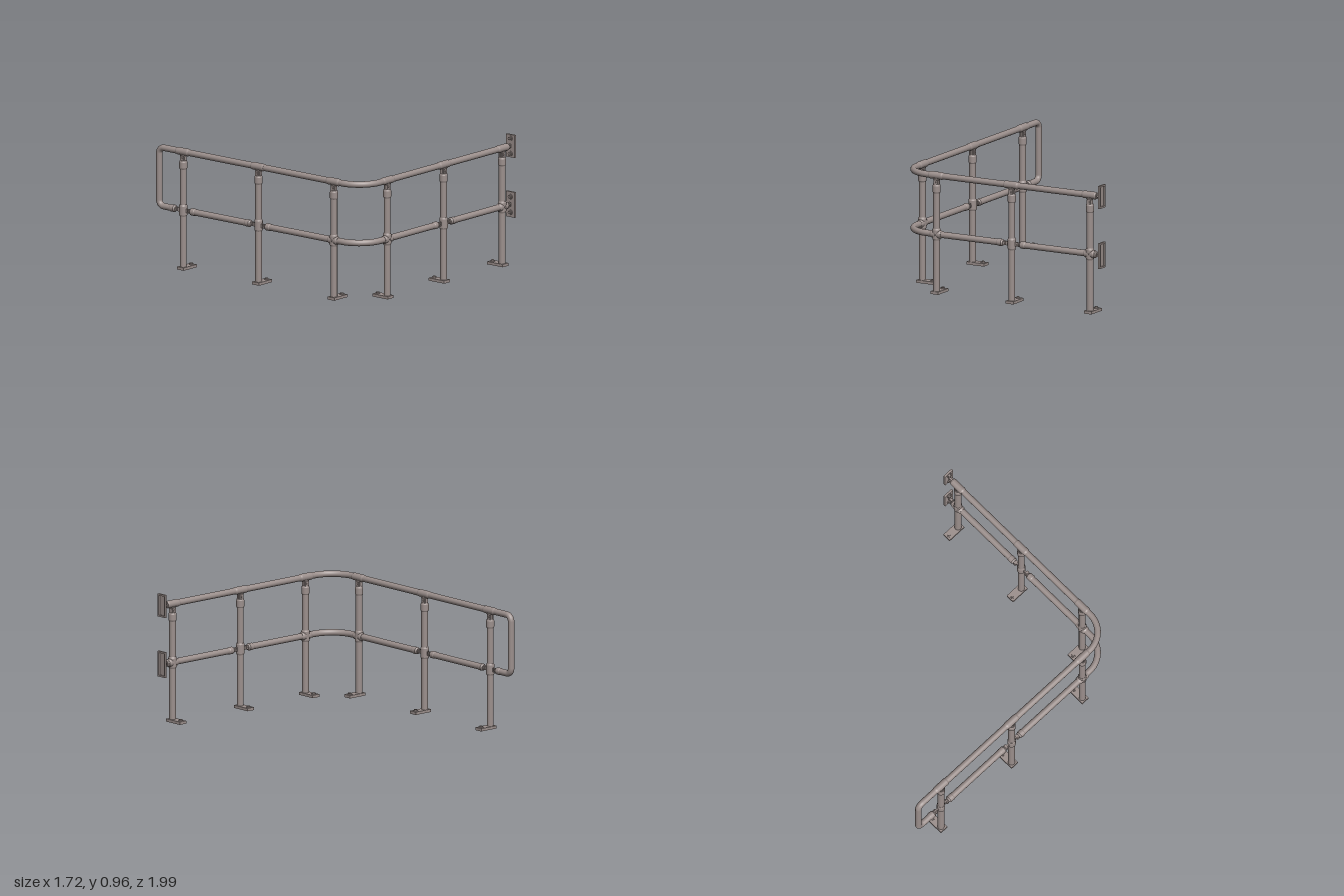
import * as THREE from 'three';
import { mergeGeometries } from 'three/addons/utils/BufferGeometryUtils.js';

const V = (x, y, z) => new THREE.Vector3(x, y, z);
const TOP = 0.88, MID = 0.443;        // rail heights
const SIDE_X = -0.828, FRONT_Z = 0.954; // rail lines
const R = 0.0235;                     // pipe radius

export function createModel() {
  const model = new THREE.Group();
  model.name = 'handrail';
  const metal = new THREE.MeshStandardMaterial({ color: 0x9b8f8c });
  metal.name = 'warm grey metal';

  const add = (parent, name, geometry, x = 0, y = 0, z = 0) => {
    const mesh = new THREE.Mesh(geometry, metal);
    mesh.name = name;
    mesh.position.set(x, y, z);
    parent.add(mesh);
    return mesh;
  };

  // Turned solid from [radius, height] pairs; every step keeps a sharp edge
  const turned = (profile, sides = 24) => {
    const parts = [];
    for (let i = 0; i < profile.length - 1; i++) {
      const pair = [profile[i], profile[i + 1]].map(([r, y]) => new THREE.Vector2(r, y));
      parts.push(new THREE.LatheGeometry(pair, sides));
    }
    return mergeGeometries(parts);
  };
  const sleeve = (half, r, end) => turned([
    [0, -half], [end, -half], [r, -half + 0.012], [r, half - 0.012], [end, half], [0, half],
  ]);

  // Pipe through the given corners, each rounded by its own radius
  const pipe = (name, points, radii) => {
    const parts = [];
    let from = points[0];
    const piece = (curve, steps) => parts.push(new THREE.TubeGeometry(curve, steps, R, 20, false));
    for (let i = 1; i < points.length; i++) {
      const corner = points[i];
      if (i === points.length - 1) { piece(new THREE.LineCurve3(from, corner), 1); break; }
      const r = radii[i - 1];
      const dirIn = corner.clone().sub(points[i - 1]).normalize();
      const dirOut = points[i + 1].clone().sub(corner).normalize();
      const a = corner.clone().addScaledVector(dirIn, -r);
      const b = corner.clone().addScaledVector(dirOut, r);
      piece(new THREE.LineCurve3(from, a), 1);
      piece(new THREE.CubicBezierCurve3(a,
        a.clone().addScaledVector(dirIn, r * 0.5523),
        b.clone().addScaledVector(dirOut, -r * 0.5523), b), 18);
      from = b;
    }
    add(model, name, mergeGeometries(parts));
  };

  // Shallow tray: solid face on the +z side, hollow on the -z side
  const tray = (w, h, depth, rim) => {
    const face = 0.3 * depth;
    const box = (s, a, b) => s.moveTo(-a, -b).lineTo(a, -b).lineTo(a, b).lineTo(-a, b).lineTo(-a, -b);
    const frame = box(new THREE.Shape(), w / 2, h / 2);
    frame.holes.push(box(new THREE.Path(), w / 2 - rim, h / 2 - rim));
    const wall = new THREE.ExtrudeGeometry(frame, { depth: depth - face, bevelEnabled: false });
    const plate = new THREE.BoxGeometry(w, h, face).translate(0, 0, depth - face / 2).toNonIndexed();
    return mergeGeometries([wall, plate]);
  };

  // Rails
  const outer = 0.2, loop = 0.045, endZ = -1 + R;
  pipe('topRailAndEndLoop', [
    V(0.79, TOP, FRONT_Z), V(SIDE_X, TOP, FRONT_Z), V(SIDE_X, TOP, endZ),
    V(SIDE_X, MID, endZ), V(SIDE_X, MID, -0.83),
  ], [outer, loop, loop]);
  pipe('cornerMidRail', [
    V(0, MID, FRONT_Z), V(SIDE_X, MID, FRONT_Z), V(SIDE_X, MID, 0.055),
  ], [outer]);
  pipe('frontMidRail', [V(0.175, MID, FRONT_Z), V(0.8, MID, FRONT_Z)], []);
  pipe('sideMidRail', [V(SIDE_X, MID, -0.115), V(SIDE_X, MID, -0.665)], []);

  // One post; its rail runs along local x and its foot points to local -z
  const makePost = (x, z, turn, kind) => {
    const post = new THREE.Group();
    post.name = kind + 'Post';
    post.position.set(x, 0, z);
    post.rotation.y = turn;
    model.add(post);

    // Foot plate and anchor bolt
    const foot = add(post, 'footPlate', tray(0.064, 0.148, 0.021, 0.012), 0, 0, -0.041);
    foot.rotation.x = -Math.PI / 2;
    add(post, 'anchorWasher', new THREE.CylinderGeometry(0.018, 0.018, 0.004, 16), 0, 0.023, -0.09);
    add(post, 'anchorBolt', new THREE.CylinderGeometry(0.012, 0.012, 0.01, 6), 0, 0.028, -0.09);

    // Upright and its top collar
    add(post, 'upright', new THREE.CylinderGeometry(0.025, 0.025, 0.76, 24), 0, 0.395, 0);
    add(post, 'topCollar', turned([
      [0.025, 0.75], [0.03, 0.76], [0.03, 0.803], [0.025, 0.816], [0, 0.816],
    ]));

    // Hinged neck and rail saddle
    add(post, 'neck', new THREE.BoxGeometry(0.036, 0.05, 0.014), 0, 0.838, 0);
    for (const s of [-1, 1]) {
      add(post, 'neckCheek', new THREE.BoxGeometry(0.034, 0.034, 0.008), 0, 0.832, s * 0.014);
    }
    const pin = add(post, 'neckPin', new THREE.CylinderGeometry(0.007, 0.007, 0.046, 12), 0, 0.832, 0);
    pin.rotation.x = Math.PI / 2;
    add(post, 'saddle', new THREE.CylinderGeometry(0.03, 0.022, 0.016, 24), 0, 0.854, 0);
    const top = add(post, 'railSleeve', sleeve(0.06, 0.0275, R), 0, TOP, 0);
    top.rotation.z = Math.PI / 2;

    // Mid rail joint
    add(post, 'midSleeve', sleeve(0.044, 0.031, 0.026), 0, MID, 0);
    if (kind === 'cross') {
      const cross = add(post, 'crossSleeve', sleeve(0.045, 0.03, 0.025), 0, MID, 0);
      cross.rotation.z = Math.PI / 2;
      const screw = add(post, 'setScrew', new THREE.CylinderGeometry(0.008, 0.008, 0.01, 12), 0, MID, 0.031);
      screw.rotation.x = Math.PI / 2;
      return;
    }
    for (const s of [-1, 1]) {
      add(post, 'swivelLug', new THREE.BoxGeometry(0.05, 0.03, 0.012), s * 0.05, MID, 0);
      for (const c of [-1, 1]) {
        add(post, 'swivelFork', new THREE.BoxGeometry(0.03, 0.026, 0.007), s * 0.062, MID, c * 0.011);
      }
      const bolt = add(post, 'swivelPin', new THREE.CylinderGeometry(0.007, 0.007, 0.038, 12), s * 0.056, MID, 0);
      bolt.rotation.x = Math.PI / 2;
      const cap = add(post, 'railEndCap', turned([
        [0, 0.068], [0.018, 0.068], [0.0265, 0.08], [0.0265, 0.112], [R, 0.118],
      ]), 0, MID, 0);
      cap.rotation.z = -s * Math.PI / 2;
    }
  };
  makePost(-0.548, FRONT_Z, 0, 'cross');
  makePost(0.087, FRONT_Z, 0, 'swivel');
  makePost(0.747, FRONT_Z, 0, 'cross');
  makePost(SIDE_X, 0.683, -Math.PI / 2, 'cross');
  makePost(SIDE_X, -0.033, -Math.PI / 2, 'swivel');
  makePost(SIDE_X, -0.748, -Math.PI / 2, 'swivel');

  // Wall brackets at the free front ends
  for (const [y, height] of [[TOP, 0.17], [MID, 0.19]]) {
    const bracket = new THREE.Group();
    bracket.name = 'wallBracket';
    bracket.position.set(0, y, FRONT_Z);
    model.add(bracket);
    const cap = add(bracket, 'railEndCap', turned([
      [R, 0.765], [0.027, 0.772], [0.027, 0.795], [0.018, 0.806], [0, 0.806],
    ]));
    cap.rotation.z = -Math.PI / 2;
    add(bracket, 'bracketTongue', new THREE.BoxGeometry(0.042, 0.03, 0.014), 0.823, 0, 0);
    const pin = add(bracket, 'bracketPin', new THREE.CylinderGeometry(0.007, 0.007, 0.034, 12), 0.82, 0, 0);
    pin.rotation.x = Math.PI / 2;
    const plate = add(bracket, 'wallPlate', tray(0.08, height, 0.016, 0.012), 0.856, 0, 0);
    plate.rotation.y = -Math.PI / 2;
    for (const s of [-1, 1]) {
      const washer = add(bracket, 'plateWasher', new THREE.CylinderGeometry(0.02, 0.02, 0.008, 16), 0.837, s * 0.058, 0);
      const bolt = add(bracket, 'plateBolt', new THREE.CylinderGeometry(0.012, 0.012, 0.012, 6), 0.829, s * 0.058, 0);
      washer.rotation.z = bolt.rotation.z = Math.PI / 2;
    }
  }
  return model;
}
